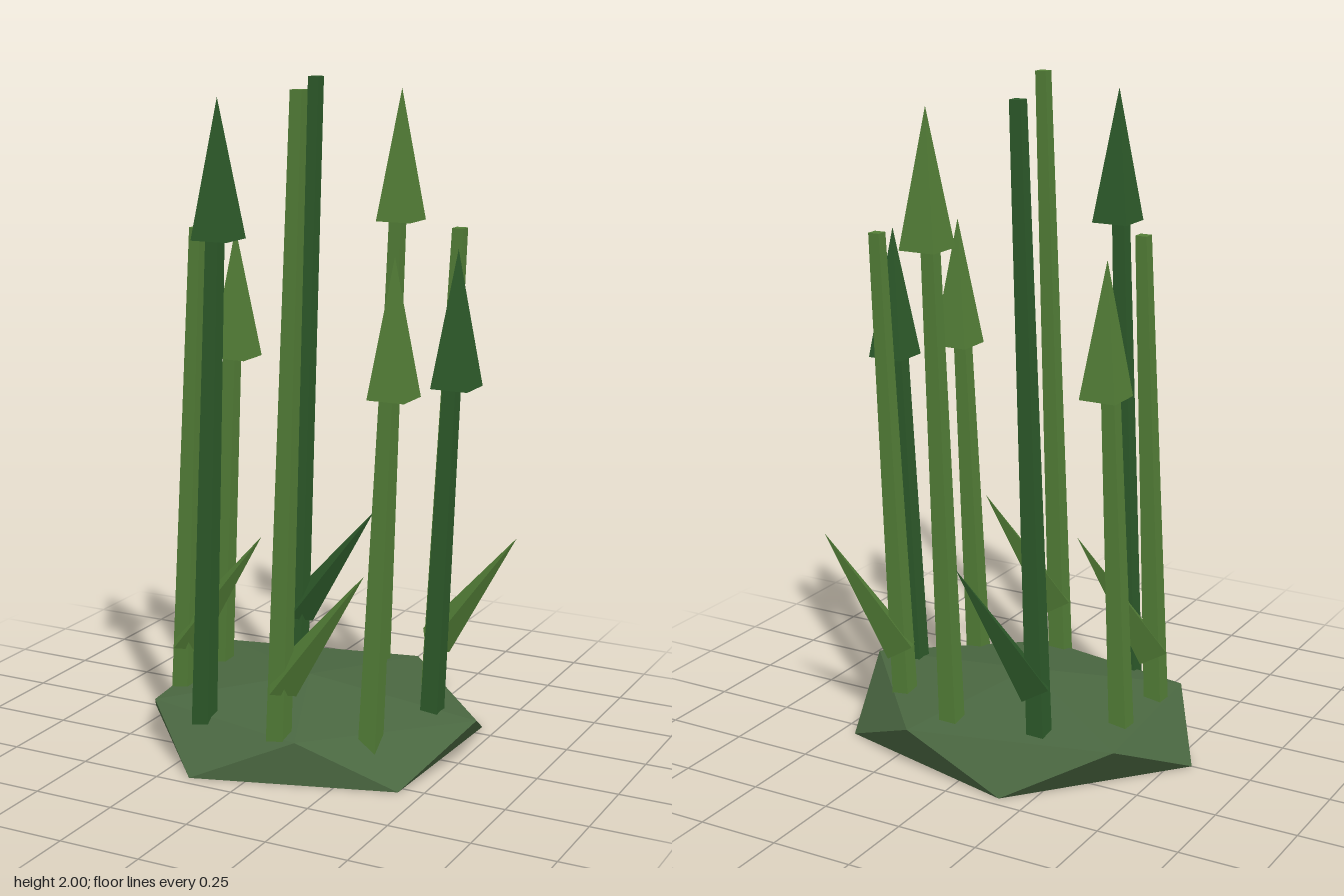
import * as THREE from 'three';
import { ConvexGeometry } from 'three/addons/geometries/ConvexGeometry.js';

const mat = (name, color) => {
  const m = new THREE.MeshStandardMaterial({ color, flatShading: true });
  m.name = name;
  return m;
};

const hull = (points) => new ConvexGeometry(points.map((p) => new THREE.Vector3(...p)));

// Four-sided tapered post with flat sides facing x and z
function squarePost(topWidth, bottomWidth, height) {
  return new THREE.CylinderGeometry(topWidth * Math.SQRT1_2, bottomWidth * Math.SQRT1_2, height, 4)
    .rotateY(Math.PI / 4).translate(0, height / 2, 0);
}

export function createModel() {
  const group = new THREE.Group();
  group.name = 'reedClump';
  const moss = mat('moss green', 0x4a6741);
  const light = mat('light reed green', 0x537e37);
  const dark = mat('dark reed green', 0x2d5a2a);

  const add = (parent, name, geometry, material) => {
    const mesh = new THREE.Mesh(geometry, material);
    mesh.name = name;
    parent.add(mesh);
    return mesh;
  };

  // Faceted mound: apex, rim and flat bottom
  add(group, 'mound', hull([
    [0, 0.2, 0],
    [0.555, 0.145, 0], [0.16, 0.14, -0.455], [-0.45, 0.145, -0.305], [-0.4, 0.135, 0.26], [0.14, 0.13, 0.37],
    [-0.56, 0, 0], [-0.16, 0, -0.465], [0.45, 0, -0.305], [0.43, 0, 0.28], [-0.16, 0, 0.465],
  ]), moss);

  const leafGeometry = hull([[-0.05, 0.31, -0.04], [0.008, 0.28, 0.068], [0.045, 0.25, -0.028], [0.247, 0.635, -0.06]]);
  const tall = [2, 3, 6, 7];
  const tipped = [0, 1, 3, 5, 7];
  const baseY = 0.08;

  // Ring of nine leaning reeds, each with a pointed tip or a low leaf
  for (let i = 0; i < 9; i++) {
    const a = (i * 40 * Math.PI) / 180;
    const reed = new THREE.Group();
    reed.name = 'reed' + (i + 1);
    reed.position.set(0.408 * Math.cos(a), 0, 0.345 * Math.sin(a));
    group.add(reed);

    const color = i % 3 === 0 ? dark : light;
    const fullTop = tall.includes(i) ? 2 : 1.575;
    const hasTip = tipped.includes(i);
    const tipBase = fullTop - 0.43;
    const length = fullTop - baseY;
    const height = (hasTip ? tipBase + 0.08 : fullTop) - baseY;
    const topWidth = 0.056 - 0.02 * (height / length);

    const stem = squarePost(topWidth, 0.056, height);
    // Shear the stem so it leans evenly
    const p = stem.attributes.position;
    for (let v = 0; v < p.count; v++) {
      const t = p.getY(v) / length;
      p.setX(v, p.getX(v) + 0.067 * t);
      p.setZ(v, p.getZ(v) - 0.006 * t);
    }
    stem.computeVertexNormals();
    add(reed, 'stem', stem, color).position.y = baseY;

    if (hasTip) add(reed, 'tip', squarePost(0, 0.115, 0.4), color).position.set(0.063, tipBase, -0.005);
    else add(reed, 'leaf', leafGeometry, color);
  }
  return group;
}
